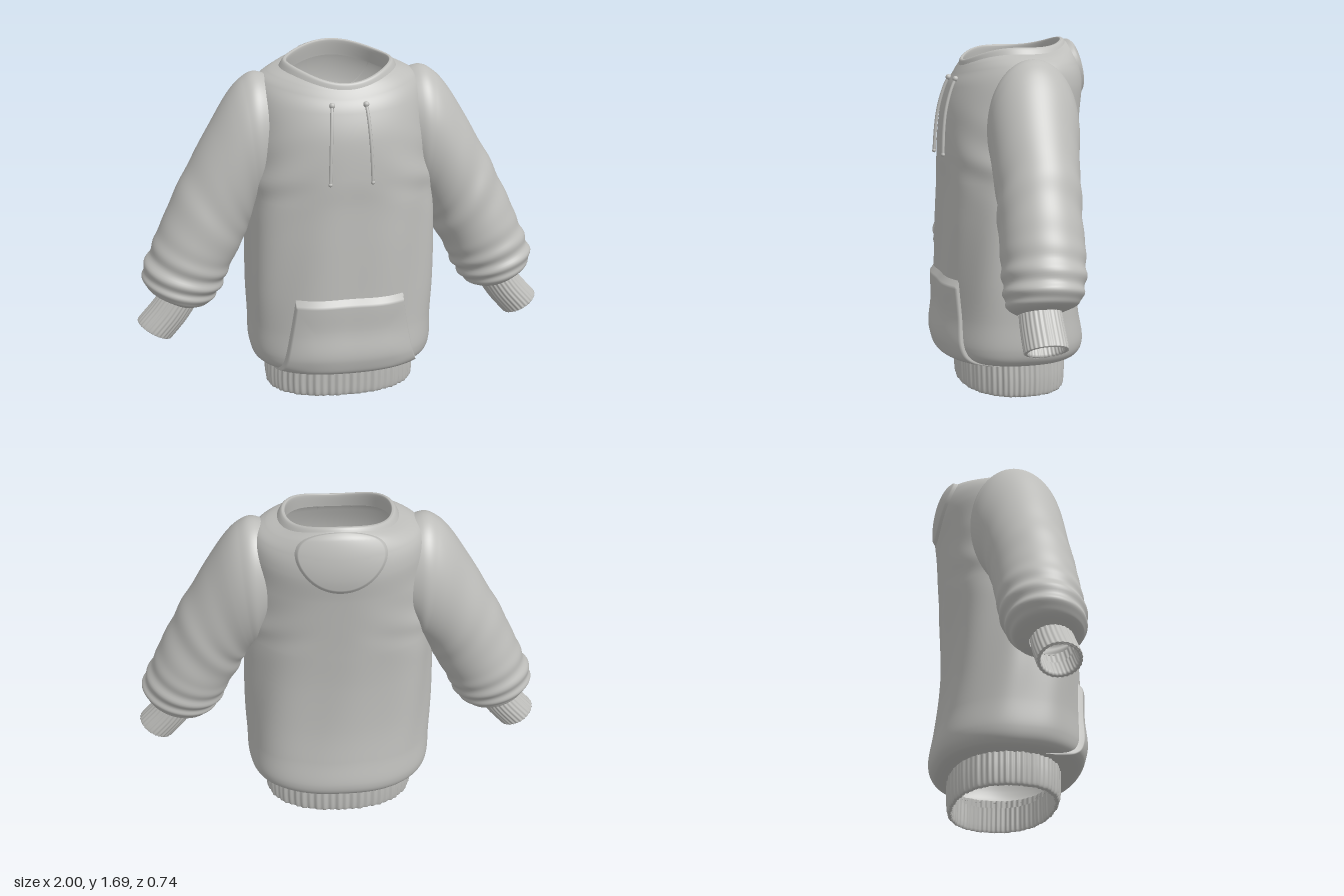
import * as THREE from 'three';
import { ParametricGeometry } from 'three/addons/geometries/ParametricGeometry.js';

const fabric = new THREE.MeshStandardMaterial({ color: 0xbebebb, side: THREE.DoubleSide });
fabric.name = 'greyFabric';

// Torso sections: half width, front z, back z, then y at front, sides and back
const level = (a, zf, zb, y) => [a, zf, zb, y, y, y];
const BODY = [
  level(0.36, 0.235, -0.27, 0.15),
  level(0.425, 0.32, -0.335, 0.175),
  level(0.453, 0.345, -0.36, 0.24),
  level(0.455, 0.335, -0.338, 0.38),
  level(0.46, 0.33, -0.318, 0.56),
  level(0.458, 0.325, -0.312, 0.8),
  level(0.45, 0.32, -0.32, 1.0),
  level(0.44, 0.322, -0.33, 1.15),
  level(0.42, 0.308, -0.345, 1.33),
  [0.41, 0.275, -0.36, 1.45, 1.48, 1.46],
  [0.385, 0.245, -0.35, 1.51, 1.555, 1.56],
  [0.335, 0.225, -0.32, 1.545, 1.59, 1.64],
  [0.275, 0.215, -0.285, 1.56, 1.61, 1.67],
];
const HEM = [
  level(0.34, 0.21, -0.245, 0.12), level(0.345, 0.212, -0.248, 0.01),
  level(0.357, 0.222, -0.258, 0), level(0.366, 0.232, -0.266, 0.015),
  level(0.37, 0.236, -0.27, 0.08), level(0.366, 0.238, -0.27, 0.165),
];
const COLLAR = [
  [0.283, 0.222, -0.295, 1.55, 1.6, 1.655],
  [0.264, 0.216, -0.281, 1.572, 1.632, 1.677],
  [0.252, 0.207, -0.271, 1.578, 1.64, 1.682],
  [0.242, 0.2, -0.262, 1.57, 1.63, 1.672],
  [0.25, 0.207, -0.275, 1.51, 1.56, 1.6],
];
// Sleeve sections: outer x, y, inner x, y, centre z, half depth
const SLEEVE = [
  [0.28, 1.55, 0.36, 1.02, -0.04, 0.19],
  [0.39, 1.592, 0.38, 0.96, -0.035, 0.215],
  [0.46, 1.565, 0.4, 0.93, -0.03, 0.215],
  [0.53, 1.49, 0.415, 0.91, -0.025, 0.21],
  [0.62, 1.345, 0.43, 0.88, -0.015, 0.2],
  [0.72, 1.17, 0.45, 0.84, -0.01, 0.193],
  [0.8, 1.02, 0.48, 0.77, 0, 0.19],
  [0.87, 0.87, 0.53, 0.68, 0.005, 0.19],
  [0.925, 0.745, 0.565, 0.6, 0.01, 0.187],
  [0.965, 0.645, 0.605, 0.53, 0.02, 0.178],
  [0.945, 0.575, 0.65, 0.485, 0.03, 0.155],
  [0.87, 0.53, 0.72, 0.47, 0.042, 0.098],
];
const CUFF = [
  [0.87, 0.56, 0.715, 0.475, 0.042, 0.094],
  [0.925, 0.49, 0.765, 0.4, 0.044, 0.097],
  [0.992, 0.415, 0.832, 0.322, 0.046, 0.098],
  [0.995, 0.405, 0.84, 0.315, 0.046, 0.094],
  [0.98, 0.405, 0.85, 0.33, 0.046, 0.08],
  [0.92, 0.48, 0.79, 0.405, 0.044, 0.078],
];

// Smooth interpolation through a list of sections
function sample(rows, s) {
  const last = rows.length - 1;
  const i = Math.min(last - 1, Math.max(0, Math.floor(s)));
  const t = s - i;
  const row = k => rows[Math.max(0, Math.min(last, k))];
  return row(i).map((p1, k) => {
    const p0 = row(i - 1)[k], p2 = row(i + 1)[k], p3 = row(i + 2)[k];
    return p1 + 0.5 * t * (p2 - p0 + t * (2 * p0 - 5 * p1 + 4 * p2 - p3 + t * (3 * (p1 - p2) + p3 - p0)));
  });
}
const bump = (s, centre, width) => Math.exp(-(((s - centre) / width) ** 2));
const roundness = s => 2 + 0.4 * THREE.MathUtils.clamp((10 - s) / 4, 0, 1);

// Point on a horizontal section, pushed outwards by off
function ringPoint(rows, angle, s, n, off, target) {
  const [a, zf, zb, yf, ys, yb] = sample(rows, s);
  const c = Math.cos(angle), d = Math.sin(angle);
  const r = (Math.abs(c) ** n + Math.abs(d) ** n) ** (-1 / n);
  const y = THREE.MathUtils.lerp((yf + yb) / 2 + (yf - yb) / 2 * d, ys, c * c);
  return target.set((a * r + off) * c, y, (zf + zb) / 2 + ((zf - zb) / 2 * r + off) * d);
}
// Torso surface with soft hanging folds and chest creases
function bodyPoint(angle, s, off, target) {
  const hang = 0.006 * bump(s, 4.6, 2.3) * Math.sin(9 * angle + 0.8 * s);
  const crease = 0.007 * bump(s, 6.9, 0.9) * Math.cos(angle) ** 2 * Math.sin(5 * s + 7 * Math.abs(Math.cos(angle)));
  ringPoint(BODY, angle, s, roundness(s), off + hang + crease, target);
  target.y += off * 0.8 * THREE.MathUtils.clamp((s - 8) / 3, 0, 1);
  return target;
}
// Torso point at a given x on the front (side 1) or back (side -1)
function bodyAt(x, s, side, off, target) {
  const n = roundness(s), q = Math.min(0.999, Math.abs(x / sample(BODY, s)[0]));
  const angle = Math.atan2(side * (1 - q ** n) ** (1 / n), Math.sign(x) * q);
  return bodyPoint(angle, s, off, target);
}
// Point on a sleeve or cuff section
function sleevePoint(rows, side, u, s, swell, target) {
  const [ux, uy, lx, ly, zc, dz] = sample(rows, s);
  const f = side * u * Math.PI * 2, c = Math.cos(f) * (1 + swell), d = Math.sin(f) * (1 + swell);
  return target.set(side * ((ux + lx) / 2 + (ux - lx) / 2 * c), (uy + ly) / 2 + (uy - ly) / 2 * c, zc + dz * d);
}

export function createModel() {
  const group = new THREE.Group();
  group.name = 'sweatshirt';
  const add = (name, geometry) => {
    const mesh = new THREE.Mesh(geometry, fabric);
    mesh.name = name;
    group.add(mesh);
    return mesh;
  };
  const surface = (name, fn, nu, nv) => add(name, new ParametricGeometry(fn, nu, nv));
  const turn = u => -u * Math.PI * 2;

  surface('torso', (u, v, p) => bodyPoint(turn(u), v * (BODY.length - 1), 0, p), 112, 96);

  // Ribbed hem band with an inner face
  surface('hemBand', (u, v, p) => {
    const rib = 0.003 * Math.sin(turn(u) * 64) + 0.002 * Math.sin(turn(u) * 23);
    ringPoint(HEM, turn(u), v * (HEM.length - 1), 2.3, rib, p);
  }, 320, 20);

  surface('collar', (u, v, p) => ringPoint(COLLAR, turn(u), v * (COLLAR.length - 1), 2, 0, p), 96, 20);

  // Front pouch, narrow at the top and wider at the hem
  surface('frontPocket', (u, v, p) => {
    const s = THREE.MathUtils.lerp(0.35, 4, v);
    const half = THREE.MathUtils.lerp(0.365, 0.265, v);
    const edge = Math.min(u, 1 - u, (1 - v) * 0.8);
    const off = -0.003 + 0.021 * Math.min(1, edge * 30) + 0.003 * Math.sin(v * 14) * Math.min(1, edge * 5);
    bodyAt((u * 2 - 1) * half, s, 1, off, p);
  }, 60, 50);

  // Rounded yoke patch below the back of the neck
  surface('backYoke', (u, v, p) => {
    const r = 1 - v * 0.98, f = turn(u);
    const off = -0.002 + 0.014 * Math.min(1, (1 - r) * 9);
    bodyAt(-0.21 * r * Math.cos(f), 10.1 - 1.75 * r * Math.sin(f), -1, off, p);
  }, 64, 24);

  for (const side of [1, -1]) {
    const label = side > 0 ? 'left' : 'right';

    // Sleeve with bunched folds above the cuff and creases at the elbow
    surface(label + 'Sleeve', (u, v, p) => {
      const s = v * (SLEEVE.length - 1), f = u * Math.PI * 2;
      const bunch = 0.035 * bump(s, 8.6, 1.1) * Math.sin(7 * s + 1.2 * Math.sin(f) + side);
      const elbow = 0.022 * bump(s, 5.6, 1) * Math.sin(4.5 * s + 2 * Math.cos(f) + side) * (side > 0 ? 1 : 0.5);
      sleevePoint(SLEEVE, side, u, s, bunch + elbow, p);
    }, 72, 110);

    // Ribbed cuff, open at the wrist
    surface(label + 'Cuff', (u, v, p) => {
      sleevePoint(CUFF, side, u, v * (CUFF.length - 1), 0.016 * Math.sin(u * Math.PI * 56), p);
    }, 168, 20);

    // Drawstring with its eyelet knot
    const points = [9.5, 9, 8.5, 8, 7.5, 6.9].map((s, i) =>
      bodyAt(side * (0.078 + i * 0.004), s, 1, 0.007 + i * 0.001, new THREE.Vector3()));
    const cord = new THREE.CatmullRomCurve3(points);
    add(label + 'Drawstring', new THREE.TubeGeometry(cord, 30, 0.008, 8));
    add(label + 'Eyelet', new THREE.SphereGeometry(0.014, 14, 10)).position.copy(points[0]);
    add(label + 'CordTip', new THREE.SphereGeometry(0.01, 12, 8)).position.copy(points[5]);
  }
  return group;
}
